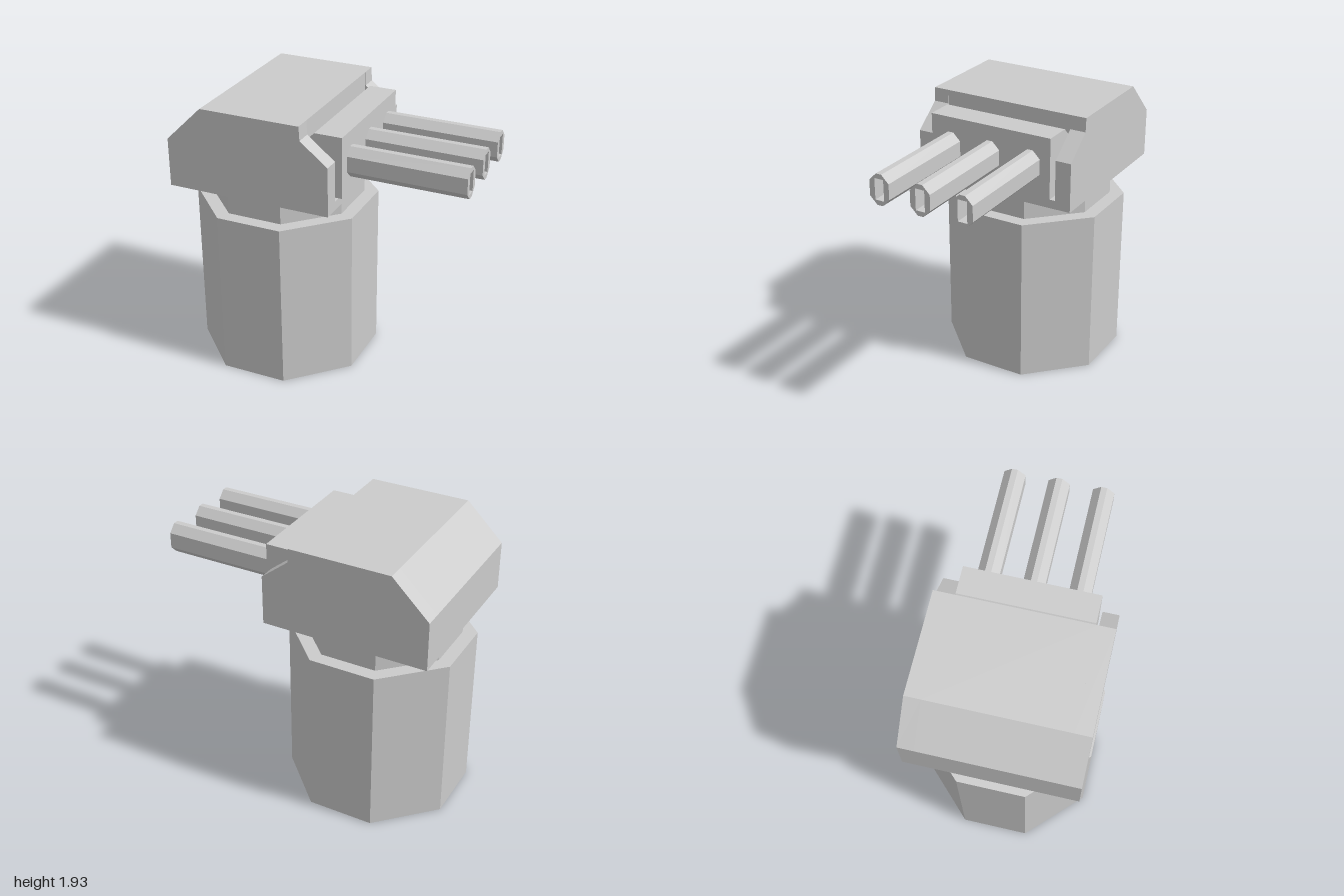
import * as THREE from 'three';

const material = new THREE.MeshStandardMaterial({
  color: 0xcccccc, flatShading: true, side: THREE.DoubleSide,
});

function polygon(points) {
  return new THREE.Shape(points.map(([x, y]) => new THREE.Vector2(x, y)));
}

function add(group, name, geometry) {
  const mesh = new THREE.Mesh(geometry, material);
  mesh.name = name;
  group.add(mesh);
  return mesh;
}

// Side outline (x, y) extruded between two z values
function slab(points, z0, z1) {
  return new THREE.ExtrudeGeometry(polygon(points), { depth: z1 - z0, bevelEnabled: false })
    .translate(0, 0, z0);
}

// Eight-sided shell from [apothem, y] pairs, with slightly narrowed flats on x and z
function octagonShell(profile) {
  const k = 1 / Math.cos(Math.PI / 8);
  const geometry = new THREE.LatheGeometry(
    profile.map(([r, y]) => new THREE.Vector2(r * k, y)), 8, Math.PI / 8);
  const p = geometry.attributes.position;
  for (let i = 0; i < p.count; i++) {
    const x = p.getX(i), z = p.getZ(i);
    if (Math.abs(x) < Math.abs(z)) p.setX(i, x * 0.94);
    else p.setZ(i, z * 0.94);
  }
  return geometry;
}

export function createModel() {
  const model = new THREE.Group();
  model.name = 'connector';

  // Hollow barrel, open underneath, with a stepped neck reaching into the head
  const barrel = add(model, 'barrelAndNeck', octagonShell([
    [0.587, 0], [0.587, 1.18], [0.495, 1.18], [0.495, 1.54], [0, 1.54],
  ]));
  barrel.position.x = -0.413;

  // Head: recessed middle between two full cheeks
  const head = new THREE.Group();
  head.name = 'head';
  model.add(head);
  const back = [[-0.99, 1.35], [0.16, 1.35]];
  const top = [[-0.035, 1.935], [-0.735, 1.935], [-0.99, 1.685]];
  add(head, 'headMiddle', slab(
    [...back, [0.16, 1.41], [-0.035, 1.41], ...top], -0.465, 0.465));
  const cheek = [...back, [0.16, 1.69], [-0.03, 1.84], ...top];
  add(head, 'leftCheek', slab(cheek, 0.465, 0.575));
  add(head, 'rightCheek', slab(cheek, -0.575, -0.465));

  // Plug seated in the recess
  add(model, 'plug', slab(
    [[-0.035, 1.43], [0.2, 1.43], [0.2, 1.85], [0.01, 1.85], [-0.035, 1.805]], -0.447, 0.447));

  // Three hollow eight-sided leads
  const lead = polygon([
    [-0.02, -0.105], [0.02, -0.105], [0.072, -0.053], [0.072, 0.053],
    [0.02, 0.105], [-0.02, 0.105], [-0.072, 0.053], [-0.072, -0.053],
  ]);
  lead.holes.push(polygon([[-0.033, -0.072], [-0.033, 0.072], [0.033, 0.072], [0.033, -0.072]]));
  const leadGeometry = new THREE.ExtrudeGeometry(lead, { depth: 0.8, bevelEnabled: false })
    .rotateY(Math.PI / 2);
  for (const z of [-0.3, 0, 0.3]) {
    add(model, 'lead', leadGeometry).position.set(0.2, 1.64, z);
  }
  return model;
}
